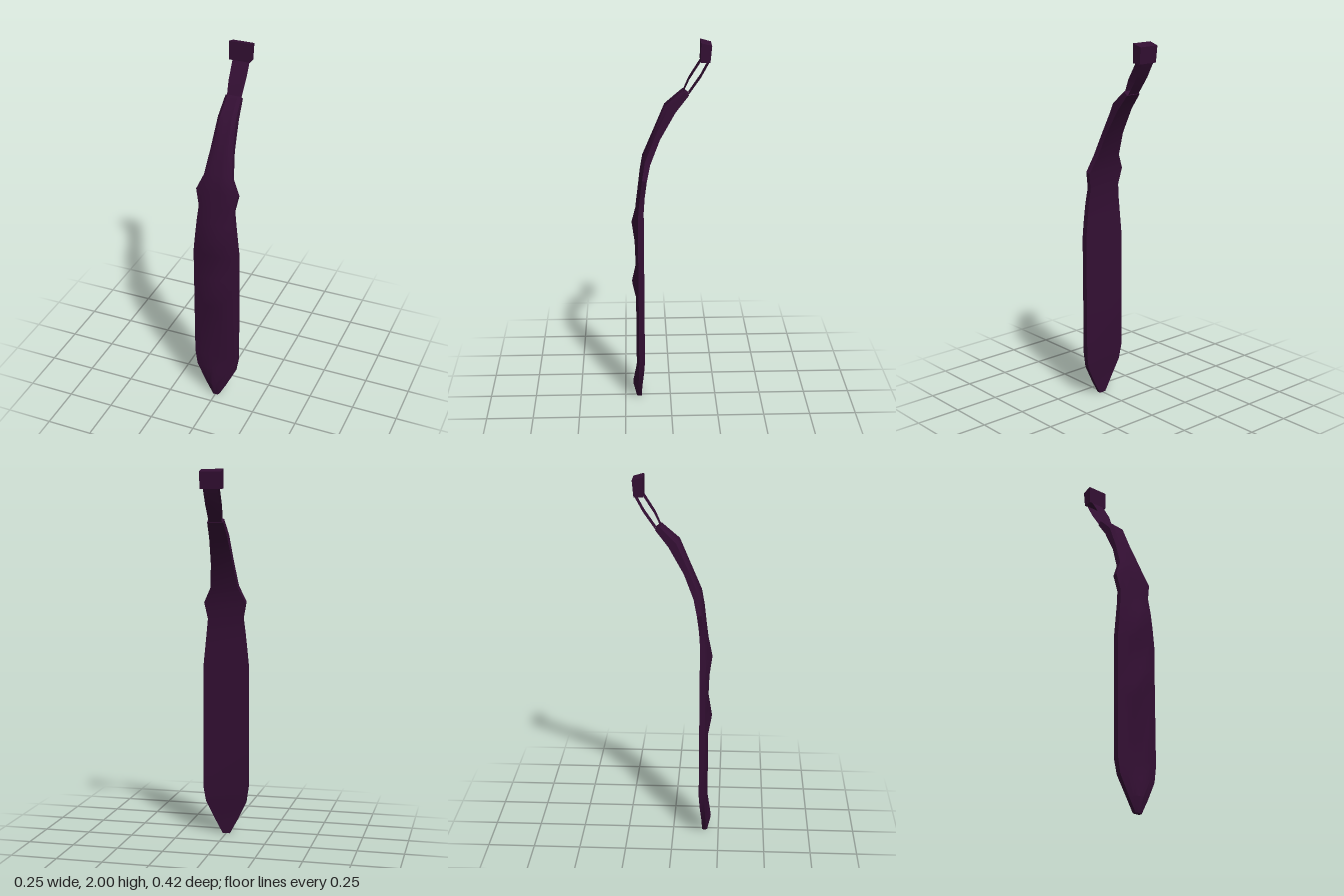
import * as THREE from 'three';
import { toCreasedNormals } from 'three/addons/utils/BufferGeometryUtils.js';

// Skin a stack of closed rings (arrays of [x, y, z]) and cap both ends.
function loft(rings, capped = true) {
  const n = rings[0].length, index = [];
  for (let i = 0; i < rings.length - 1; i++) {
    for (let j = 0; j < n; j++) {
      const a = i * n + j, b = i * n + (j + 1) % n;
      index.push(a, a + n, b, b, a + n, b + n);
    }
  }
  const top = (rings.length - 1) * n;
  for (let j = 1; capped && j < n - 1; j++) {
    index.push(0, j, j + 1, top, top + j + 1, top + j);
  }
  const g = new THREE.BufferGeometry();
  g.setAttribute('position', new THREE.Float32BufferAttribute(rings.flat(2), 3));
  g.setIndex(index);
  return toCreasedNormals(g, 0.6);
}

export function createModel() {
  const group = new THREE.Group();
  const cloth = new THREE.MeshStandardMaterial({ color: 0x330f33, side: THREE.DoubleSide });
  cloth.name = 'dark plum cloth';
  const add = (name, geometry) => {
    const mesh = new THREE.Mesh(geometry, cloth);
    mesh.name = name;
    group.add(mesh);
  };

  // Blade sections: front y, front z, back y, back z, half width, fold height
  const sections = [
    [0, 0.188, 0, 0.16, 0.02, 0],
    [0.08, 0.188, 0.08, 0.157, 0.063, 0.019],
    [0.18, 0.186, 0.18, 0.148, 0.112, 0],
    [0.27, 0.186, 0.26, 0.142, 0.125, 0],
    [0.6, 0.186, 0.6, 0.142, 0.125, 0],
    [0.69, 0.186, 0.69, 0.142, 0.125, 0.02],
    [0.78, 0.186, 0.78, 0.142, 0.125, 0],
    [0.93, 0.187, 0.93, 0.142, 0.125, 0.004],
    [1.03, 0.187, 1.03, 0.142, 0.115, 0.018],
    [1.12, 0.182, 1.12, 0.142, 0.106, 0],
    [1.21, 0.171, 1.2, 0.136, 0.097, 0],
    [1.3, 0.16, 1.29, 0.125, 0.115, 0],
    [1.39, 0.146, 1.37, 0.106, 0.076, 0],
    [1.53, 0.088, 1.5, 0.055, 0.06, 0],
    [1.67, 0.03, 1.64, -0.025, 0.049, 0],
    [1.75, -0.062, 1.727, -0.093, 0.043, 0],
  ];
  add('blade', loft(sections.map(([yf, zf, yb, zb, w, fold]) => {
    const ze = zf - (zf - zb) * 0.3, ye = yf - (yf - yb) * 0.3;
    return [
      [w, yb, zb], [w, ye, ze], [w * 0.64, yf, zf], [w * 0.17, yf, zf + fold],
      [-w * 0.17, yf, zf + fold], [-w * 0.64, yf, zf], [-w, ye, ze], [-w, yb, zb],
    ];
  })));

  // Neck: two separate thin layers of cloth joining blade and knot
  const layer = (points) => {
    const positions = points.flatMap(([y, z, w]) => [w, y, z, -w, y, z]);
    const index = [];
    for (let i = 0; i < points.length - 1; i++) {
      const a = i * 2;
      index.push(a, a + 2, a + 1, a + 1, a + 2, a + 3);
    }
    const g = new THREE.BufferGeometry();
    g.setAttribute('position', new THREE.Float32BufferAttribute(positions, 3));
    g.setIndex(index);
    g.computeVertexNormals();
    return g;
  };
  add('neckFrontLayer', layer([[1.745, -0.066, 0.033], [1.81, -0.095, 0.037], [1.9, -0.152, 0.039]]));
  add('neckBackLayer', layer([[1.73, -0.093, 0.035], [1.82, -0.155, 0.038], [1.9, -0.198, 0.039]]));

  // Knot: small tapered block with a sloping top
  const knotRing = (yf, yb, zf, zb, w) => [
    [w - 0.002, yb, zb], [w - 0.001, yf, zf], [-w, yf, zf], [-w + 0.002, yb, zb],
  ];
  add('knot', loft([
    knotRing(1.9, 1.898, -0.152, -0.2, 0.057),
    knotRing(2, 1.985, -0.153, -0.208, 0.059),
  ]));

  return group;
}
